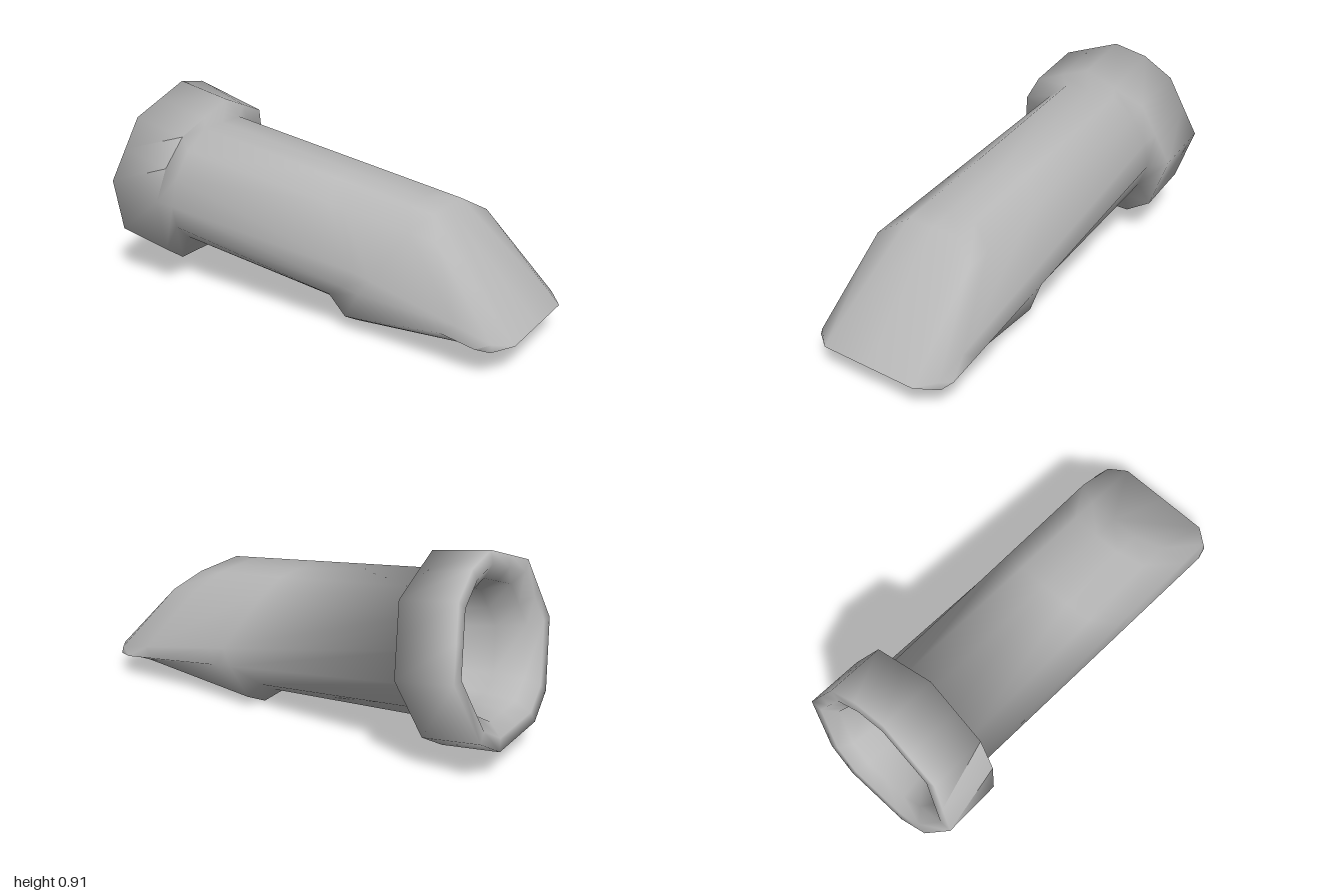
import * as THREE from 'three';
import { toCreasedNormals } from 'three/addons/utils/BufferGeometryUtils.js';

const rad = THREE.MathUtils.degToRad;
const lerp = THREE.MathUtils.lerp;
const FLAT = Math.cos(Math.PI / 8); // radius factor that puts a point on a 45 degree chord

// Triangles joining successive closed rings of [x, y, z] points
function loft(rings) {
  const out = [];
  for (let i = 0; i + 1 < rings.length; i++) {
    const p = rings[i], q = rings[i + 1], n = p.length;
    for (let j = 0; j < n; j++) {
      const k = (j + 1) % n;
      out.push(p[j], p[k], q[j], p[k], q[k], q[j]);
    }
  }
  return out;
}

// Complete a half ring, given from top centre to bottom centre, with its -z side
const mirror = (half) => [...half, ...half.slice(1, -1).map(([x, y, z]) => [x, y, -z]).reverse()];

// Collar ring: an octagon with a few extra corners, tilted about z
function collarRing([r, d]) {
  const front = d > 0.2;
  const corners = [
    [0, 1], [22.5, FLAT], [45, 1], [67.5, front ? 1 : FLAT], [90, 1], [135, 1], [157.5, 1],
    [180, FLAT], [202.5, 1], [225, 1], [270, 1], [292.5, FLAT], [315, 1], [337.5, front ? FLAT : 1],
  ];
  return corners.map(([angle, k]) => {
    const v = r * k * Math.cos(rad(angle));
    return [-0.915 + 0.975 * d + 0.22 * v, 0.52 - 0.2 * d + 0.975 * v, r * k * Math.sin(rad(angle))];
  });
}

export function createModel() {
  const group = new THREE.Group();
  group.name = 'tiltedSpout';
  const grey = new THREE.MeshStandardMaterial({ color: 0xb8b8b8 });
  grey.name = 'grey';

  // Collar profile [radius, depth]: bore floor, bore wall, bevelled mouth, rim, outer wall
  const collar = [
    [0.001, 0.6], [0.22, 0.6], [0.26, 0.18], [0.29, 0.05], [0.35, 0],
    [0.405, 0], [0.405, 0.265],
  ].map(collarRing);

  // Root of the tube on the collar's front: fourteen-sided, flat on top and bottom
  const flatCos = Math.cos(Math.PI / 7);
  const root = [0, 1, 2, 3, 4, 5, 6, 7].map((i) => {
    const t = (i * Math.PI) / 7;
    const s = 0.5 - THREE.MathUtils.clamp(Math.cos(t) / flatCos, -1, 1) / 2;
    return [lerp(-0.594, -0.72, s), lerp(0.748, 0.2, s), 0.295 * Math.sin(t)];
  });

  // Slanted tip: top of the cut down to a wide thin lip
  const tip = [
    [0.57, 0.56, 0], [0.57, 0.56, 0.125], [0.64, 0.49, 0.235], [0.93, 0.15, 0.305],
    [0.87, 0.125, 0.33], [0.93, 0.12, 0.315], [0.995, 0.13, 0.23], [0.995, 0.13, 0],
  ];

  // Section between root and tip, with its own three underside points
  const section = (t, under) => [
    ...root.slice(0, 5).map((p, i) => p.map((v, axis) => lerp(v, tip[i][axis], t))),
    ...under,
  ];
  const halves = [
    root,
    section(0.6, [[0.14, 0.15, 0.235], [0.15, 0.08, 0.128], [0.15, 0.08, 0]]),
    section(0.65, [[0.22, 0.065, 0.235], [0.21, 0.003, 0.125], [0.21, 0.003, 0]]), // wedge heel
    section(0.9, [[0.78, 0.113, 0.28], [0.8, 0.112, 0.21], [0.8, 0.112, 0]]),
    tip,
  ];
  const surface = loft([...collar, ...halves.map(mirror)]);

  // Cut face: flat middle and rounded-off sides, both halves
  const cut = [[0, 1, 6], [0, 6, 7], [1, 2, 6], [2, 3, 6], [3, 5, 6], [3, 4, 5]];
  for (const face of cut) {
    const [a, b, c] = face.map((i) => tip[i]);
    const [a2, b2, c2] = face.map((i) => [tip[i][0], tip[i][1], -tip[i][2]]);
    surface.push(a, b, c, a2, c2, b2);
  }

  // One seamless skin, so the shading flows from collar to tube to tip
  const geometry = new THREE.BufferGeometry();
  geometry.setAttribute('position', new THREE.Float32BufferAttribute(surface.flat(), 3));
  const skin = new THREE.Mesh(toCreasedNormals(geometry, 1.7), grey);
  skin.name = 'collaredTube';
  group.add(skin);

  return group;
}
